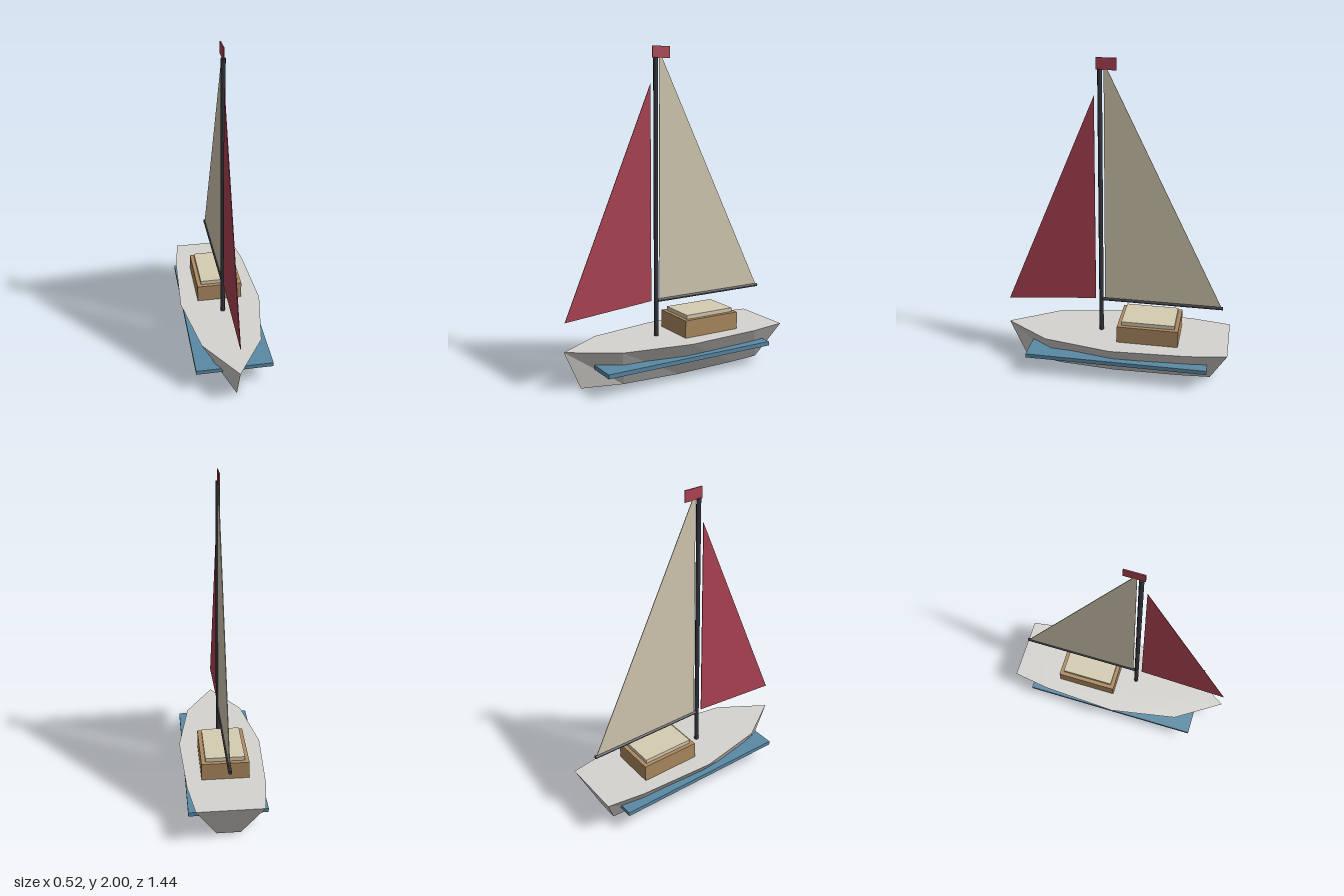
import * as THREE from 'three';

const paint = (name, color, extra = {}) => {
  const m = new THREE.MeshStandardMaterial({ color, ...extra });
  m.name = name;
  return m;
};

export function createModel() {
  const hullGrey = paint('hullGrey', 0xd6d4d0);
  const wood = paint('wood', 0xae8b61);
  const canvas = paint('canvas', 0xd6ccb3);
  const red = paint('red', 0xae4454);
  const blue = paint('blue', 0x5a89a4);
  const dark = paint('dark', 0x36373d);

  const boat = new THREE.Group();
  boat.name = 'sailboat';
  const add = (name, geometry, material, x = 0, y = 0, z = 0) => {
    const mesh = new THREE.Mesh(geometry, material);
    mesh.name = name;
    mesh.position.set(x, y, z);
    boat.add(mesh);
    return mesh;
  };

  // Hull: deck outline extruded upward, then narrowed towards the keel
  const height = 0.24;
  const half = [[0.185, 0.43], [0.262, 0], [0.237, -0.48], [0.2, -0.72]]; // [x, z]
  const outline = [[0, 0.72], ...half, ...half.map(([x, z]) => [-x, z]).reverse()];
  const shape = new THREE.Shape(outline.map(([x, z]) => new THREE.Vector2(x, -z)));
  const hull = new THREE.ExtrudeGeometry(shape, { depth: height, bevelEnabled: false });
  hull.rotateX(-Math.PI / 2);
  const p = hull.attributes.position;
  for (let i = 0; i < p.count; i++) {
    const t = p.getY(i) / height;
    p.setX(i, p.getX(i) * (0.36 + 0.64 * t));
    p.setZ(i, p.getZ(i) * (0.855 + 0.145 * t));
  }
  hull.computeVertexNormals();
  add('hull', hull, hullGrey);

  // Side boards
  for (const side of [1, -1]) {
    add(side > 0 ? 'leftSideBoard' : 'rightSideBoard',
      new THREE.BoxGeometry(0.185, 0.026, 1.15), blue, side * 0.1455, 0.135, -0.025);
  }

  // Cabin and its roof
  add('cabin', new THREE.BoxGeometry(0.29, 0.11, 0.385), wood, 0, 0.295, -0.217);
  add('cabinRoof', new THREE.BoxGeometry(0.24, 0.025, 0.335), canvas, 0, 0.3625, -0.217);

  // Mast and boom
  add('mast', new THREE.CylinderGeometry(0.014, 0.014, 1.7, 8), dark, 0, 1.085, 0.1);
  add('boom', new THREE.CylinderGeometry(0.011, 0.011, 0.77, 8).rotateX(Math.PI / 2),
    dark, 0, 0.463, -0.288);

  // Sails: thin triangles in the centre plane, corners given as [z, y]
  const sail = (name, corners, material) => {
    const s = new THREE.Shape(corners.map(([z, y]) => new THREE.Vector2(-z, y)));
    const g = new THREE.ExtrudeGeometry(s, { depth: 0.004, bevelEnabled: false });
    g.translate(0, 0, -0.002).rotateY(Math.PI / 2);
    add(name, g, material);
  };
  sail('mainSail', [[0.076, 0.465], [-0.665, 0.465], [0.076, 1.975]], canvas);
  sail('jib', [[0.135, 0.465], [0.135, 1.78], [0.71, 0.415]], red);

  // Flag at the masthead
  add('flag', new THREE.BoxGeometry(0.007, 0.07, 0.12), red, 0, 1.965, 0.062);

  return boat;
}
